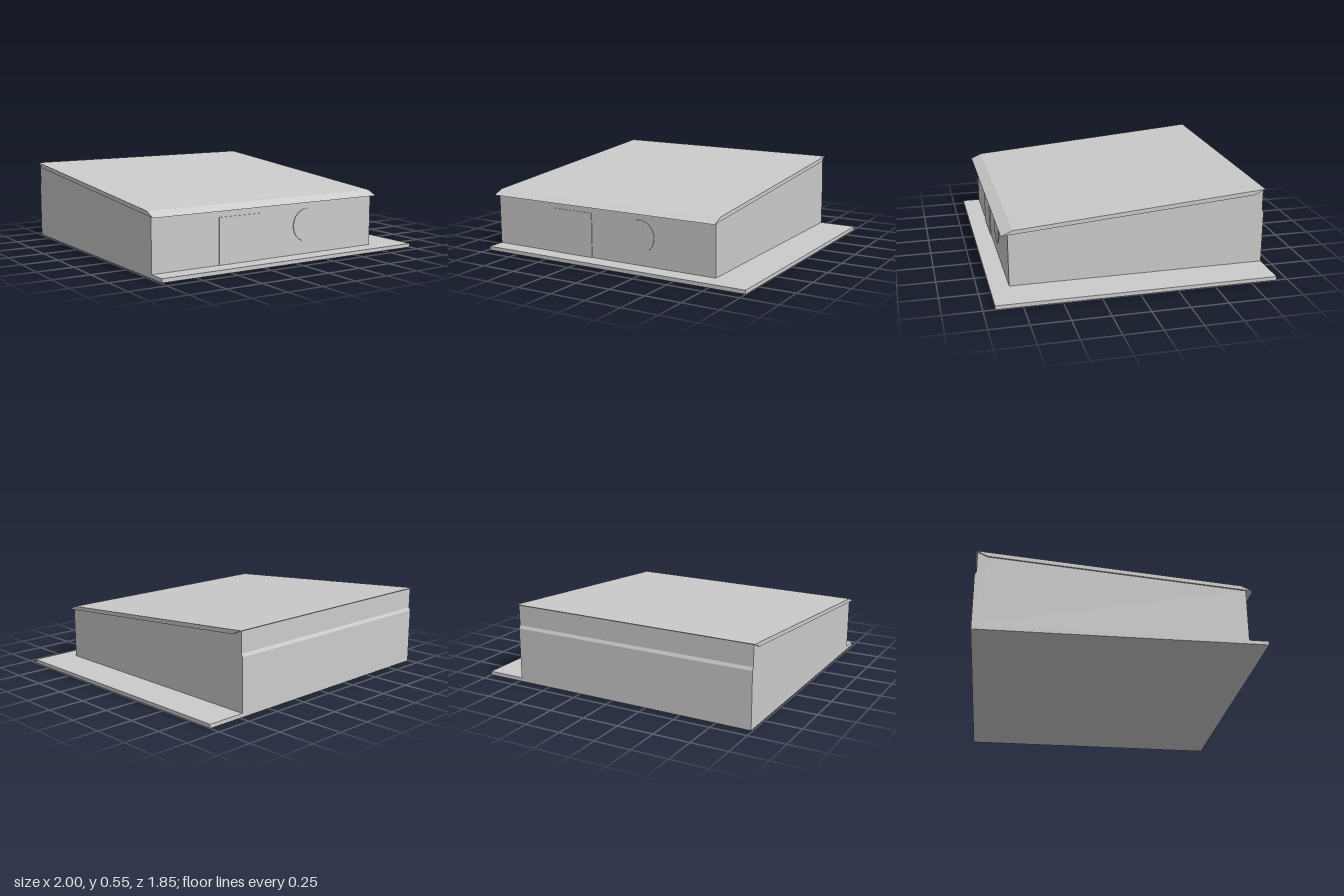
import * as THREE from 'three';

const grey = new THREE.MeshStandardMaterial({ color: 0xcccccc, flatShading: true });

function add(group, name, geometry, x = 0, y = 0, z = 0) {
  const mesh = new THREE.Mesh(geometry, grey);
  mesh.name = name;
  mesh.position.set(x, y, z);
  group.add(mesh);
}

// Side profile given as [z, y] points, swept from x0 to x1
function sweep(points, x0, x1) {
  const shape = new THREE.Shape(points.map(([z, y]) => new THREE.Vector2(-z, y)));
  const geometry = new THREE.ExtrudeGeometry(shape, { depth: x1 - x0, bevelEnabled: false });
  return geometry.rotateY(Math.PI / 2).translate(x0, 0, 0);
}

export function createModel() {
  const group = new THREE.Group();

  // Ground slab, wider than the building on the left and front
  add(group, 'groundSlab', new THREE.BoxGeometry(1.99, 0.026, 1.85), 0.005, 0.013, 0);

  // Walls with a sloping top and a shallow step across the back
  add(group, 'walls', sweep([
    [0.8, 0.026], [0.8, 0.385], [-0.84, 0.515], [-0.914, 0.54],
    [-0.914, 0.4], [-0.925, 0.38], [-0.925, 0.026],
  ], -0.99, 0.733), 0, 0, 0);

  // Slanted roof panel with bevelled front and back edges
  add(group, 'roof', sweep([
    [0.843, 0.375], [0.767, 0.408], [-0.925, 0.546], [-0.85, 0.511],
  ], -1, 0.745));

  // Thin door panel and round window on the front wall
  add(group, 'door', new THREE.BoxGeometry(0.31, 0.304, 0.01), -0.355, 0.178, 0.8);
  const disc = new THREE.CylinderGeometry(0.11, 0.11, 0.01, 32).rotateX(Math.PI / 2);
  add(group, 'roundWindow', disc, 0.177, 0.22, 0.8);

  return group;
}
